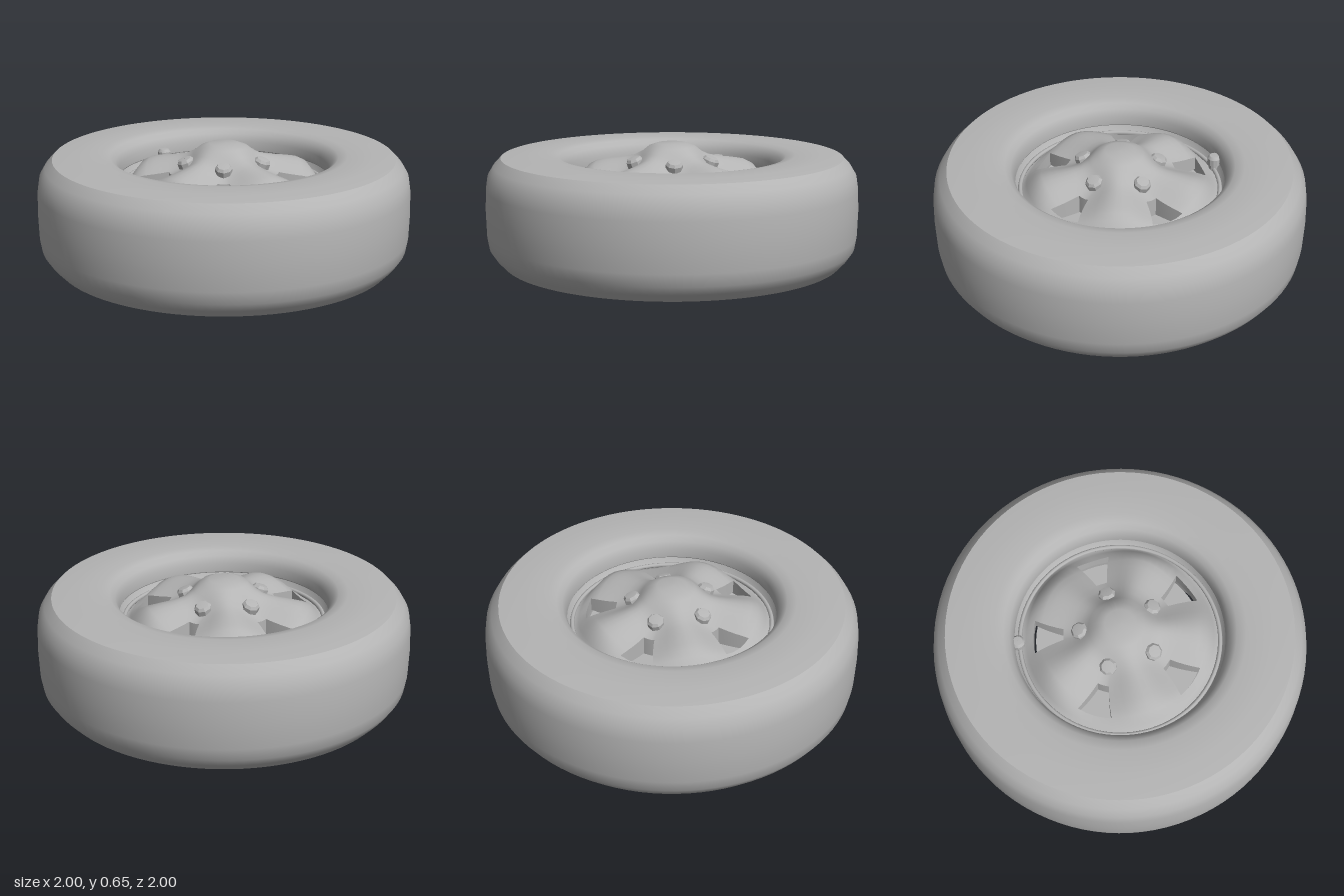
import * as THREE from 'three';
import { toCreasedNormals } from 'three/addons/utils/BufferGeometryUtils.js';

const grey = new THREE.MeshStandardMaterial({ color: 0xb4b4b4, side: THREE.DoubleSide });
grey.name = 'plain grey';

const SPOKES = 5;
const SECTOR = (Math.PI * 2) / SPOKES;
const FIRST_HOLE = THREE.MathUtils.degToRad(30);

function addMesh(group, name, geometry) {
  const mesh = new THREE.Mesh(geometry, grey);
  mesh.name = name;
  group.add(mesh);
  return mesh;
}

function turned(profile, sides, crease = 0.5) {
  const points = profile.map(([r, y]) => new THREE.Vector2(r, y));
  return toCreasedNormals(new THREE.LatheGeometry(points, sides), crease);
}

function surface(positions, indices) {
  const geometry = new THREE.BufferGeometry();
  geometry.setAttribute('position', new THREE.Float32BufferAttribute(positions, 3));
  geometry.setIndex(indices);
  geometry.computeVertexNormals();
  return geometry;
}

// Wheel face rows: radius, height on a spoke, height in line with a hole
const ROWS = [
  [0.001, 0.65, 0.65], [0.08, 0.648, 0.648], [0.125, 0.632, 0.63], [0.165, 0.6, 0.59],
  [0.21, 0.578, 0.54], [0.255, 0.568, 0.515], [0.3, 0.56, 0.5], [0.34, 0.555, 0.49],
  [0.38, 0.548, 0.48], [0.42, 0.54, 0.47], [0.46, 0.52, 0.46], [0.5, 0.465, 0.44],
  [0.53, 0.425, 0.42], [0.545, 0.43, 0.43], [0.565, 0.47, 0.47],
];
const HOLE_ROWS = [6, 10];
const HOLE_COLS = [5, 9];
const COLS = 14;

// Point of the wheel face; columns bunch up along the sides of each hole
function facePoint(row, col) {
  const [r, ridge, valley] = ROWS[row];
  const half = THREE.MathUtils.mapLinear(THREE.MathUtils.clamp(r, 0.3, 0.46), 0.3, 0.46, 0.1, 0.2);
  const sector = Math.floor(col / COLS);
  const k = col % COLS;
  const edge = SECTOR / 2;
  let u;
  if (k < 5) u = -edge + ((edge - half) * k) / 5;
  else if (k < 9) u = -half + (2 * half * (k - 5)) / 4;
  else u = half + ((edge - half) * (k - 9)) / 5;
  const blend = 0.5 - 0.5 * Math.cos(SPOKES * u);
  const a = FIRST_HOLE + sector * SECTOR + u;
  return [r * Math.cos(a), valley + (ridge - valley) * blend, r * Math.sin(a)];
}

function wheelFace() {
  const positions = [];
  const indices = [];
  const n = COLS * SPOKES;
  for (let i = 0; i < ROWS.length; i++) {
    for (let j = 0; j < n; j++) positions.push(...facePoint(i, j));
  }
  for (let i = 0; i < ROWS.length - 1; i++) {
    for (let j = 0; j < n; j++) {
      const k = j % COLS;
      const inHole = i >= HOLE_ROWS[0] && i < HOLE_ROWS[1] && k >= HOLE_COLS[0] && k < HOLE_COLS[1];
      if (inHole) continue;
      const a = i * n + j;
      const b = i * n + ((j + 1) % n);
      indices.push(a, b, a + n, b, b + n, a + n);
    }
  }
  return surface(positions, indices);
}

// Walls of one hole, from the face down to the backing plate
function holeWall(sector) {
  const [r0, r1] = HOLE_ROWS;
  const [c0, c1] = HOLE_COLS;
  const loop = [];
  const add = (row, col) => loop.push(facePoint(row, sector * COLS + col));
  for (let c = c0; c < c1; c++) add(r0, c);
  for (let r = r0; r < r1; r++) add(r, c1);
  for (let c = c1; c > c0; c--) add(r1, c);
  for (let r = r1; r > r0; r--) add(r, c0);
  const positions = [];
  const indices = [];
  loop.forEach(([x, y, z], i) => {
    positions.push(x, y, z, x, 0.4, z);
    const a = i * 2;
    const b = ((i + 1) % loop.length) * 2;
    indices.push(a, a + 1, b, b, a + 1, b + 1);
  });
  return toCreasedNormals(surface(positions, indices), 0.5);
}

export function createModel() {
  const model = new THREE.Group();
  model.name = 'wheel';

  // Tyre with its straight inner barrel
  addMesh(model, 'tyre', turned([
    [0.58, 0.012], [0.64, 0.006], [0.8, 0.006], [0.915, 0.018], [0.955, 0.06], [0.985, 0.105],
    [0.996, 0.17], [1, 0.3], [0.996, 0.42], [0.985, 0.49], [0.955, 0.54], [0.915, 0.582],
    [0.8, 0.592], [0.66, 0.592], [0.61, 0.583], [0.58, 0.56], [0.562, 0.52], [0.56, 0.47],
    [0.58, 0.43], [0.58, 0.012],
  ], 96));

  // Spoked face with hub dome and five windows
  addMesh(model, 'wheelFace', wheelFace());
  for (let s = 0; s < SPOKES; s++) addMesh(model, 'windowWall', holeWall(s));

  // Thin rim ring around the face
  const ring = addMesh(model, 'rimRing', new THREE.TorusGeometry(0.535, 0.012, 8, 72));
  ring.rotation.x = Math.PI / 2;
  ring.position.y = 0.432;

  // Backing plate behind the windows
  addMesh(model, 'backingPlate', turned([
    [0.04, 0.34], [0.45, 0.34], [0.45, 0.4], [0.04, 0.4],
  ], 64));

  // Axle sleeve with a central bore
  addMesh(model, 'axleSleeve', turned([
    [0.045, 0.36], [0.045, 0], [0.13, 0], [0.13, 0.36],
  ], 40));

  // Wheel nuts, in line with the windows
  const nut = turned([[0.046, -0.05], [0.046, 0.022], [0.034, 0.036], [0.001, 0.039]], 8);
  for (let i = 0; i < SPOKES; i++) {
    const a = FIRST_HOLE + i * SECTOR;
    const mesh = addMesh(model, 'wheelNut', nut);
    mesh.position.set(0.208 * Math.cos(a), 0.543, 0.208 * Math.sin(a));
    mesh.rotation.set(0, -a, -0.35);
  }

  // Valve stem
  const valve = addMesh(model, 'valve', turned([
    [0.028, 0.4], [0.028, 0.455], [0.037, 0.46], [0.037, 0.495], [0.026, 0.51], [0.001, 0.512],
  ], 12));
  valve.position.set(-0.25, 0, -0.48);

  return model;
}
